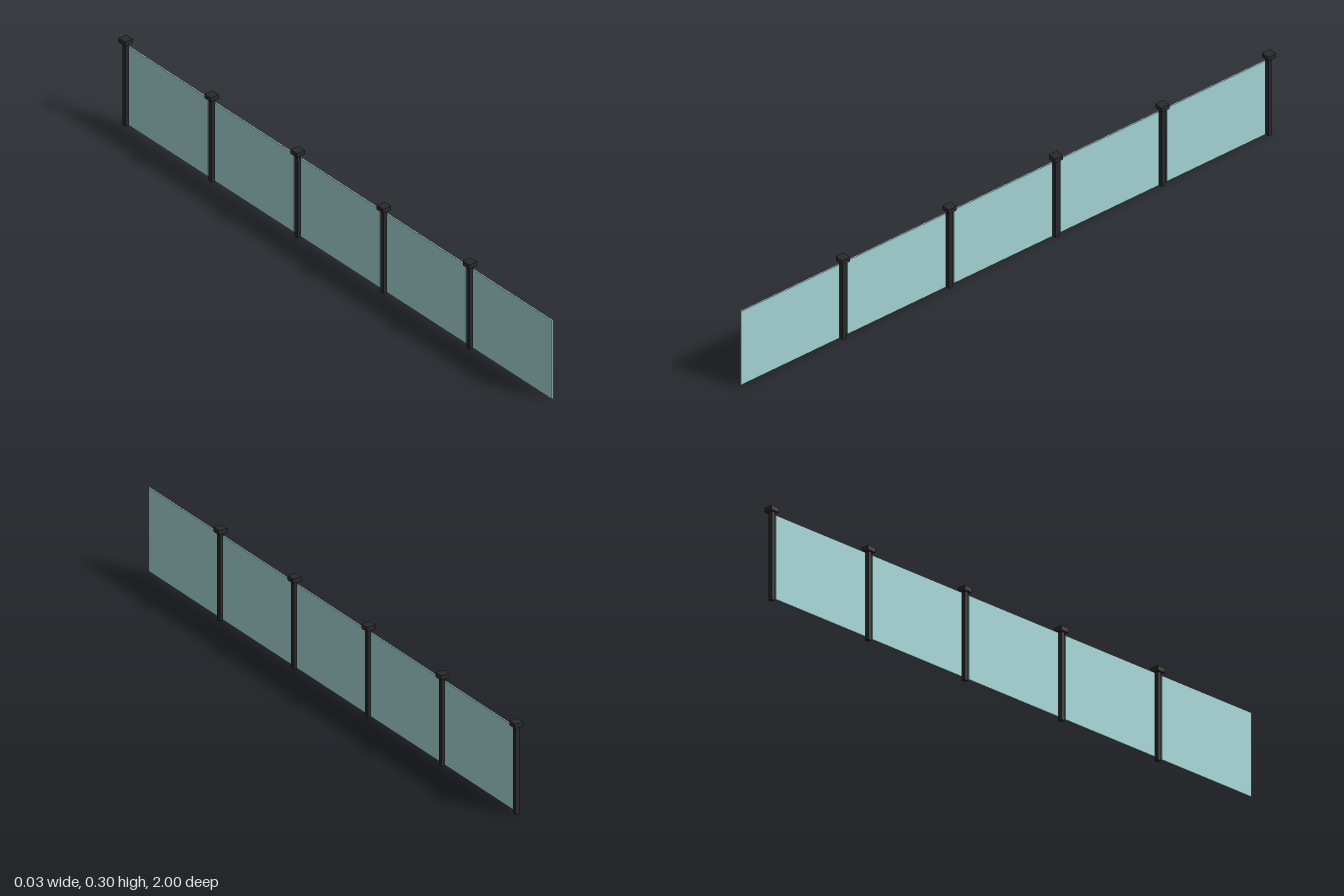
import * as THREE from 'three';

export function createModel() {
  const fence = new THREE.Group();
  fence.name = 'glassFence';
  const metal = new THREE.MeshStandardMaterial({ color: 0x2a2a2c });
  const glass = new THREE.MeshStandardMaterial({ color: 0xa5d6d6 });

  const box = (name, w, h, d, y, z, material, parent) => {
    const mesh = new THREE.Mesh(new THREE.BoxGeometry(w, h, d), material);
    mesh.name = name;
    mesh.position.set(0, y, z);
    parent.add(mesh);
  };

  // Five repeated bays, each a capped post followed by a glass pane
  const pitch = 0.4;
  for (let i = 0; i < 5; i++) {
    const bay = new THREE.Group();
    bay.name = `bay${i + 1}`;
    bay.position.z = -0.985 + i * pitch;
    box('post', 0.014, 0.288, 0.014, 0.144, 0, metal, bay);
    box('postCap', 0.03, 0.015, 0.03, 0.2945, 0, metal, bay);
    box('glassPane', 0.005, 0.274, 0.37, 0.145, pitch / 2, glass, bay);
    fence.add(bay);
  }
  return fence;
}
